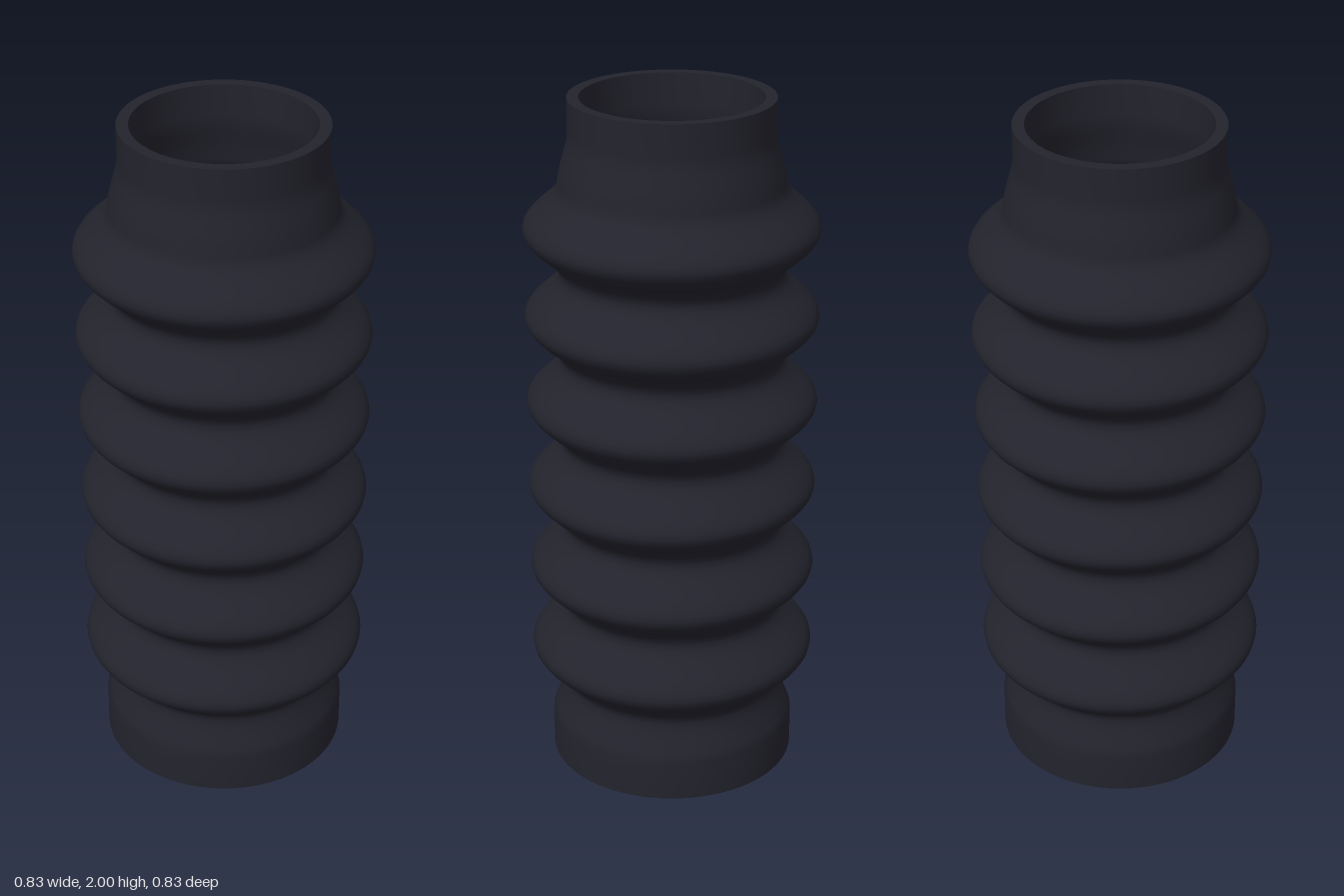
import * as THREE from 'three';

const SEGMENTS = 96;
const WALL = 0.033;      // thickness of the rubber
const VALLEY = 0.316, PEAK = 0.414;
const FOLDS = 6, PITCH = 0.256, FIRST_VALLEY = 0.226;

const v = (x, y) => new THREE.Vector2(x, y);

// Outer profile from the bottom collar up to the top collar
function outerProfile() {
  const lower = [v(0.358, 0.115), v(0.348, 0.14), v(0.334, 0.172), v(0.321, 0.202)];
  const folds = [];
  const steps = 16;
  for (let i = 0; i <= FOLDS * steps; i++) {
    const wave = (1 - Math.cos((i / steps) * Math.PI * 2)) / 2;
    folds.push(v(VALLEY + (PEAK - VALLEY) * wave, FIRST_VALLEY + (i / steps) * PITCH));
  }
  const upper = [v(0.312, 1.79), v(0.303, 1.825), v(0.293, 1.86), v(0.287, 1.885), v(0.286, 1.91)];
  return [v(0.358, 0), ...lower, ...folds, ...upper, v(0.286, 2)];
}

export function createModel() {
  const group = new THREE.Group();
  group.name = 'bellowsBoot';
  const rubber = new THREE.MeshStandardMaterial({ color: 0x23232d });
  rubber.name = 'darkRubber';

  const addLathe = (name, points) => {
    const mesh = new THREE.Mesh(new THREE.LatheGeometry(points, SEGMENTS), rubber);
    mesh.name = name;
    group.add(mesh);
  };

  const outer = outerProfile();
  const inner = outer.map((p) => v(p.x - WALL, p.y)).reverse();

  // Separate surfaces keep the rim edges sharp
  addLathe('outerBellows', outer);
  addLathe('innerBellows', inner);
  addLathe('bottomRim', [inner[inner.length - 1], outer[0]]);
  addLathe('topRim', [outer[outer.length - 1], inner[0]]);

  return group;
}
